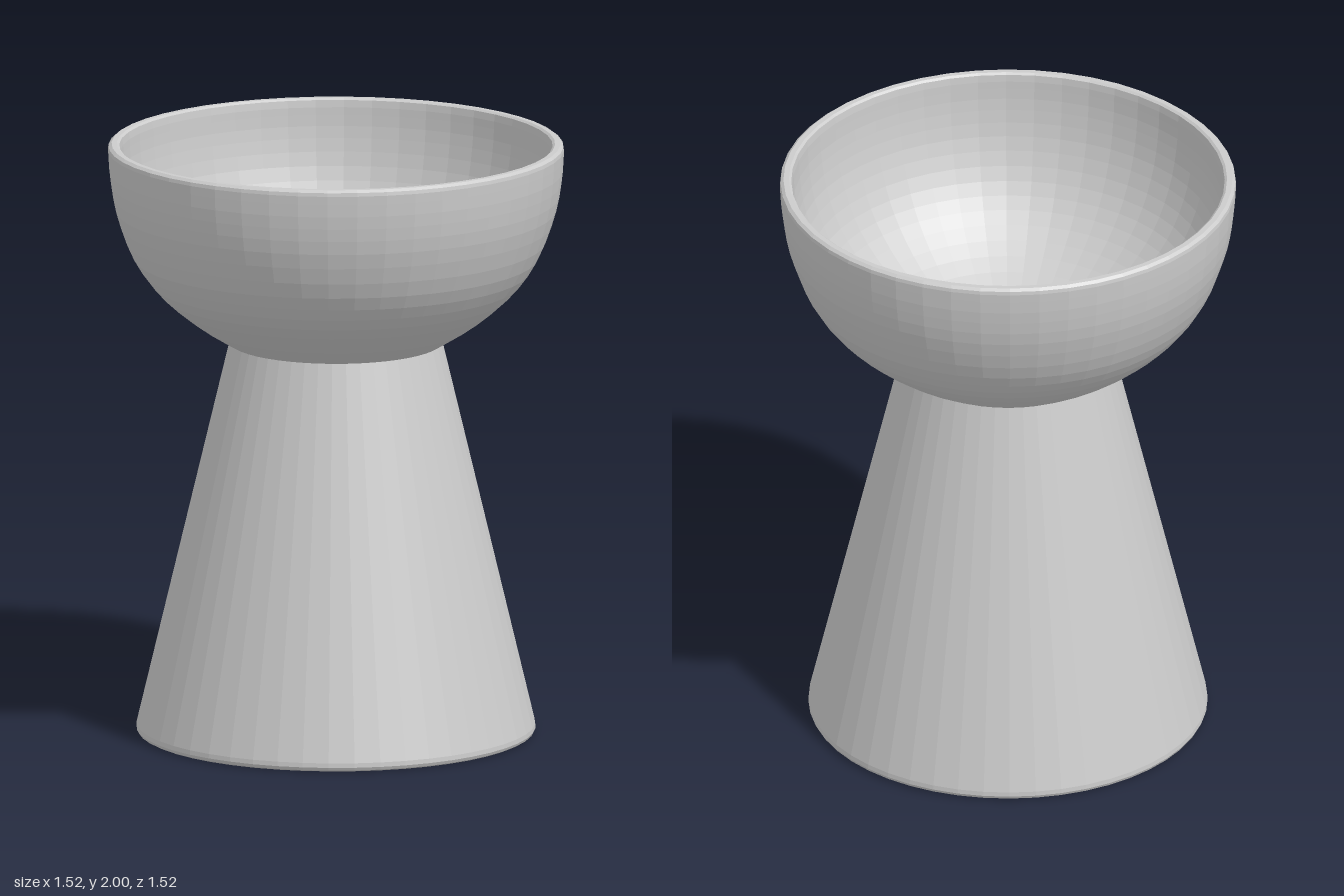
import * as THREE from 'three';

const SEGMENTS = 48;
const BORE = 0.015; // radius of the fine hole along the axis
const WAIST = [0.355, 1.325];

const material = new THREE.MeshStandardMaterial({
  color: 0xcccccc, flatShading: true, side: THREE.DoubleSide,
});

const toPoints = (pairs) => pairs.map(([r, y]) => new THREE.Vector2(r, y));
const curve = (pairs, n) => new THREE.SplineCurve(toPoints(pairs)).getPoints(n);

// Turned part from a profile running up the outside and down the inside
function turned(name, points) {
  const mesh = new THREE.Mesh(new THREE.LatheGeometry(points, SEGMENTS), material);
  mesh.name = name;
  return mesh;
}

export function createModel() {
  const group = new THREE.Group();
  group.name = 'pedestalBowl';

  // Tapered foot with a softly rounded bottom edge
  group.add(turned('pedestal', toPoints([
    [BORE, 0], [0.65, 0], [0.66, 0.005], [0.665, 0.015], [0.664, 0.03], WAIST,
  ])));

  // Bowl: outer wall, rounded rim, inner wall and flat floor
  const outer = curve([
    WAIST, [0.475, 1.4], [0.592, 1.5], [0.675, 1.615], [0.73, 1.76], [0.753, 1.88], [0.76, 1.98],
  ], 16);
  const rim = toPoints([[0.758, 1.992], [0.748, 2], [0.73, 2], [0.722, 1.994]]);
  const inner = curve([
    [0.719, 1.97], [0.713, 1.88], [0.69, 1.76], [0.64, 1.635], [0.563, 1.53], [0.45, 1.435], [0.318, 1.36],
  ], 16);
  group.add(turned('bowl', [...outer, ...rim, ...inner, ...toPoints([[BORE, 1.36]])]));

  // Fine hole from the bowl floor to the underside
  group.add(turned('centreBore', toPoints([[BORE, 1.36], [BORE, 0]])));

  return group;
}
